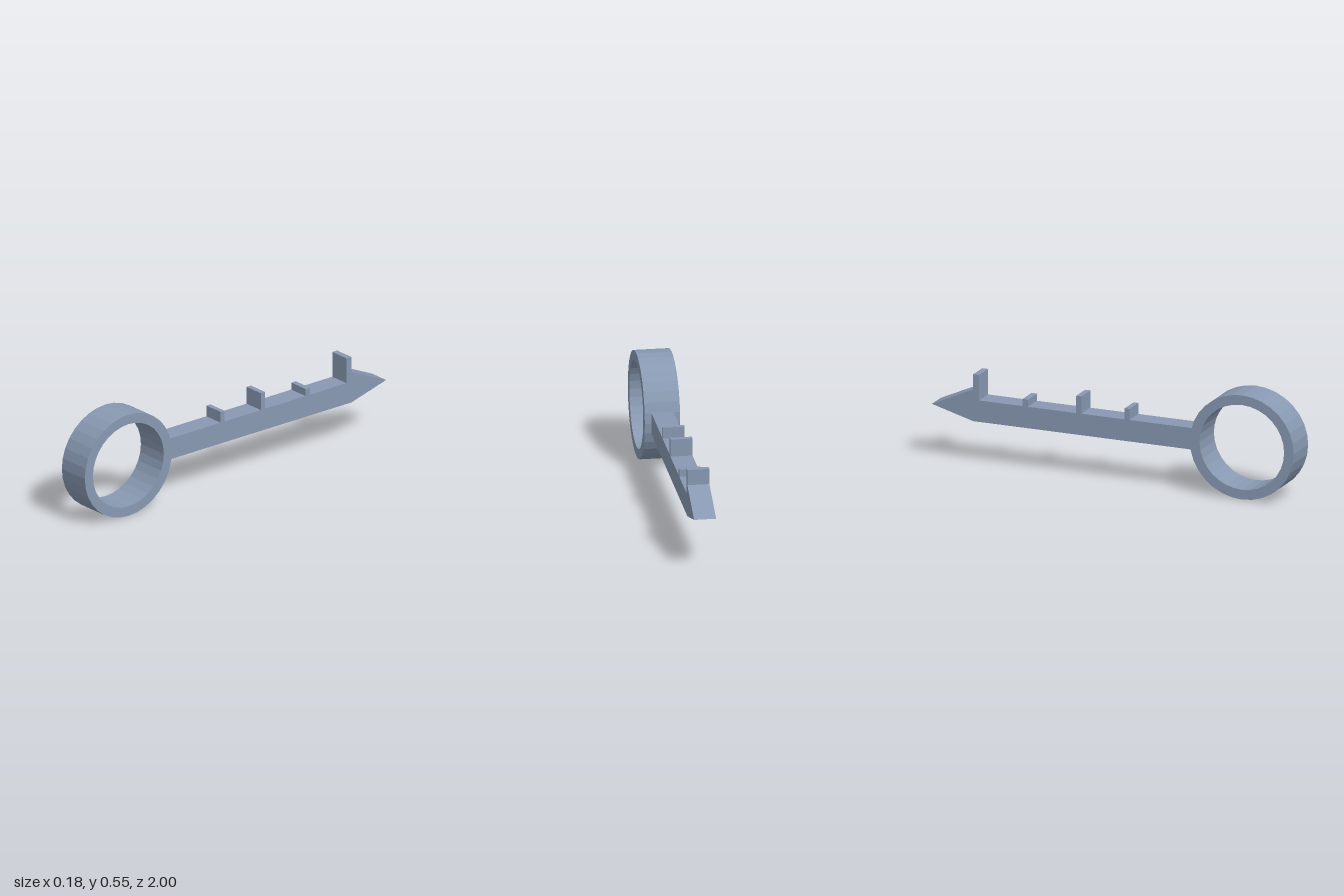
import * as THREE from 'three';

const material = new THREE.MeshStandardMaterial({ color: 0x8899b2, flatShading: true });

// Extrudes a side profile (drawn in -z, y) to a width centred on x = 0
function sidePart(name, shape, width) {
  const geometry = new THREE.ExtrudeGeometry(shape, { depth: width, bevelEnabled: false, curveSegments: 16 });
  geometry.translate(0, 0, -width / 2).rotateY(Math.PI / 2);
  const mesh = new THREE.Mesh(geometry, material);
  mesh.name = name;
  return mesh;
}

const polygon = (points) => new THREE.Shape(points.map(([z, y]) => new THREE.Vector2(-z, y)));

export function createModel() {
  const model = new THREE.Group();
  model.name = 'key';

  // Ring handle: slightly oval band with 32 sides
  const ring = new THREE.Shape().absellipse(-0.715, 0.274, 0.285, 0.274, 0, Math.PI * 2, false);
  ring.holes.push(new THREE.Path().absellipse(-0.715, 0.274, 0.232, 0.223, 0, Math.PI * 2, true));
  model.add(sidePart('ringHandle', ring, 0.18));

  // Shaft, with teeth [front z, back z, top y] rising from it and the pointed tip
  const bottom = 0.217, top = 0.33, tipZ = -0.773;
  const teeth = [
    [0.083, 0.057, 0.388],
    [-0.18, -0.208, 0.421],
    [-0.473, -0.502, 0.368],
    [-0.741, tipZ, 0.464],
  ];
  const outline = [[0.45, bottom], [0.45, top]];
  for (const [front, back, height] of teeth) {
    outline.push([front, top], [front, height], [back, height]);
    if (back !== tipZ) outline.push([back, top]);
  }
  outline.push([tipZ, 0.383], [-1, 0.28], [tipZ, bottom]);
  model.add(sidePart('toothedShaft', polygon(outline), 0.112));

  return model;
}
